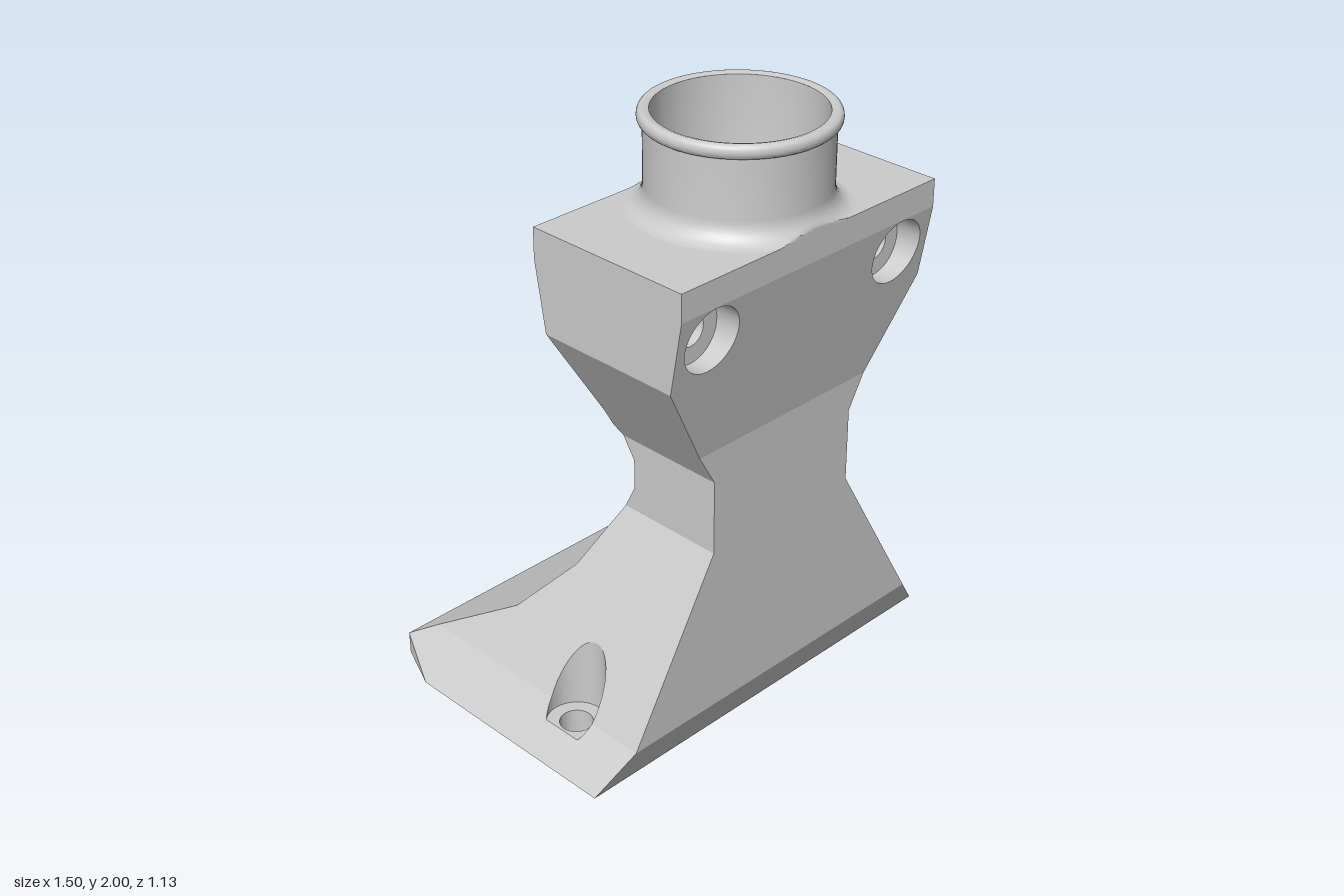
import * as THREE from 'three';
import { mergeGeometries, toCreasedNormals } from 'three/addons/utils/BufferGeometryUtils.js';

// Body profiles as [y, value]: half width, front z, back z
const WIDTH = [[0, 0.75], [0.14, 0.63], [0.71, 0.3], [0.96, 0.3], [1.37, 0.535], [1.7, 0.535]];
const FRONT = [[0, 0.41], [0.14, 0.47], [1.07, 0.47], [1.61, 0.565], [1.7, 0.565]];
const BACK = [[0, -0.565], [0.08, -0.565], [0.31, -0.18], [0.5, -0.01], [0.73, 0.1], [0.79, 0.13],
  [0.89, 0.13], [0.95, 0.09], [1.0, 0.065], [1.07, 0.065], [1.6, -0.03], [1.7, -0.03]];
const SIDE_BACK = [[0, -0.4], ...BACK.slice(1)]; // back corners of the foot are cut off
const NECK_Z = 0.267;
const BOLT = { x: 0.395, y: 1.5, r: 0.053, bore: 0.107, floor: 0.46 };
const FOOT = { x: 0.61, z: 0.18, r: 0.053, bore: 0.095, floor: 0.09 };

function at(knots, y) {
  for (let i = 1; i < knots.length; i++) {
    const [y0, v0] = knots[i - 1], [y1, v1] = knots[i];
    if (y <= y1) return v0 + (v1 - v0) * (y - y0) / (y1 - y0);
  }
  return knots[knots.length - 1][1];
}

const arc = (cx, cy, r, a0 = 0, a1 = Math.PI * 2, n = 40) =>
  Array.from({ length: n + 1 }, (_, i) => {
    const a = a0 + (a1 - a0) * i / n;
    return [cx + r * Math.cos(a), cy + r * Math.sin(a)];
  });

// Flat panel with holes, put in space by place(u, v)
function panel(outline, holes, place) {
  const vec = (pts) => pts.map(([u, v]) => new THREE.Vector2(u, v));
  const shape = new THREE.Shape(vec(outline));
  holes.forEach((h) => shape.holes.push(new THREE.Path(vec(h))));
  const g = new THREE.ShapeGeometry(shape);
  const p = g.attributes.position;
  for (let i = 0; i < p.count; i++) p.setXYZ(i, ...place(p.getX(i), p.getY(i)));
  return finish(g);
}

// Skin through rows of points
function skin(rows) {
  const n = rows[0].length, index = [];
  for (let j = 0; j < rows.length - 1; j++) {
    for (let i = 0; i < n - 1; i++) {
      const a = j * n + i, b = a + n;
      index.push(a, b, a + 1, a + 1, b, b + 1);
    }
  }
  const g = new THREE.BufferGeometry();
  g.setAttribute('position', new THREE.Float32BufferAttribute(rows.flat(2), 3));
  g.setIndex(index);
  return finish(g);
}

function finish(g) {
  g.deleteAttribute('uv');
  g.deleteAttribute('normal');
  return toCreasedNormals(g, 0.6);
}

// Outline between two heights, bounded by two profiles
function stripOutline(y0, y1, lo, hi, topNotch = [], bottomNotch = []) {
  const edge = (k) => [y0, ...k.map((p) => p[0]).filter((y) => y > y0 && y < y1), y1].map((y) => [at(k, y), y]);
  return [...edge(hi), ...topNotch, ...edge(lo).reverse(), ...bottomNotch];
}

// Duct section: two overlapping circles of radius r, a apart from the middle
function ductRing(y, r, cz, a) {
  return Array.from({ length: 73 }, (_, i) => {
    const t = i / 72 * Math.PI * 2, c = Math.cos(t), s = Math.sin(t);
    const d = a * Math.abs(c) + Math.sqrt(r * r - a * a * s * s);
    return [d * c, y, y > 0 ? Math.max(cz + d * s, at(BACK, y) + 0.008) : cz + d * s];
  });
}

export function createModel() {
  const model = new THREE.Group();
  const material = new THREE.MeshStandardMaterial({ color: 0xcccccc, side: THREE.DoubleSide });
  const add = (name, parts) => {
    const mesh = new THREE.Mesh(mergeGeometries(parts), material);
    mesh.name = name;
    model.add(mesh);
  };

  // Front and back walls
  const shell = [];
  const negWidth = WIDTH.map(([y, w]) => [y, -w]);
  for (const [knots, r] of [[FRONT, BOLT.bore], [BACK, BOLT.r]]) {
    for (let i = 1; i < knots.length; i++) {
      const y0 = knots[i - 1][0], y1 = knots[i][0];
      let outline = stripOutline(y0, y1, negWidth, WIDTH);
      if (knots === BACK && i === 1) outline = [[-0.68, 0], [0.68, 0], [0.681, 0.08], [-0.681, 0.08]];
      const holes = y0 < BOLT.y && y1 > BOLT.y ? [-1, 1].map((s) => arc(s * BOLT.x, BOLT.y, r)) : [];
      shell.push(panel(outline, holes, (u, y) => [u, y, at(knots, y)]));
    }
  }

  // Side walls, notched by the foot counterbores
  const slopeY = (x) => x > 0.63 ? (0.75 - x) * 0.14 / 0.12 : 0.14 + (0.63 - x) * 0.57 / 0.33;
  const cut = (a0, a1) => arc(FOOT.x, FOOT.z, FOOT.bore, a0, a1, 24).map(([x, z]) => [z, slopeY(x)]);
  const kink = Math.acos((0.63 - FOOT.x) / FOOT.bore);
  const low = Math.acos((0.75 - FOOT.floor * 0.12 / 0.14 - FOOT.x) / FOOT.bore);
  for (const s of [-1, 1]) {
    for (let i = 1; i < WIDTH.length; i++) {
      const top = i === 1 ? [...cut(kink, low), ...cut(-low, -kink)] : [];
      const bottom = i === 2 ? cut(Math.PI * 2 - kink, kink) : [];
      const outline = stripOutline(WIDTH[i - 1][0], WIDTH[i][0], SIDE_BACK, FRONT, top, bottom);
      shell.push(panel(outline, [], (z, y) => [s * at(WIDTH, y), y, z]));
    }
    // Cut back corner of the foot
    shell.push(skin([[[s * 0.75, 0, -0.4], [s * 0.75, 0, -0.4]], [[s * 0.68, 0, -0.565], [s * 0.681, 0.08, -0.565]]]));
  }

  // Underside and shoulder
  const outlet = ductRing(0, 0.18, 0.065, 0.12).map(([x, , z]) => [x, z]);
  shell.push(panel(
    [[-0.75, 0.41], [-0.75, -0.4], [-0.68, -0.565], [0.68, -0.565], [0.75, -0.4], [0.75, 0.41]],
    [outlet, ...[-1, 1].map((s) => arc(s * FOOT.x, FOOT.z, FOOT.r))],
    (x, z) => [x, 0, z]));
  shell.push(panel(
    [[-0.535, -0.03], [0.535, -0.03], [0.535, 0.565], [-0.535, 0.565]],
    [arc(0, NECK_Z, 0.26, 0, Math.PI * 2, 72)], (x, z) => [x, 1.7, z]));
  add('body', shell);

  // Bolt holes
  for (const s of [-1, 1]) {
    const name = s > 0 ? 'left' : 'right';
    const wide = arc(s * BOLT.x, BOLT.y, BOLT.bore), thin = arc(s * BOLT.x, BOLT.y, BOLT.r);
    add(name + 'UpperBoltHole', [
      skin([wide.map(([x, y]) => [x, y, at(FRONT, y)]), wide.map(([x, y]) => [x, y, BOLT.floor])]),
      panel(wide, [thin], (x, y) => [x, y, BOLT.floor]),
      skin([thin.map(([x, y]) => [x, y, BOLT.floor]), thin.map(([x, y]) => [x, y, at(BACK, y)])]),
    ]);
    const wall = arc(FOOT.x, FOOT.z, FOOT.bore, low, Math.PI * 2 - low, 64);
    const hole = arc(FOOT.x, FOOT.z, FOOT.r);
    add(name + 'FootBoltHole', [
      skin([wall.map(([x, z]) => [s * x, slopeY(x), z]), wall.map(([x, z]) => [s * x, FOOT.floor, z])]),
      panel(wall, [hole], (x, z) => [s * x, FOOT.floor, z]),
      skin([hole.map(([x, z]) => [s * x, FOOT.floor, z]), hole.map(([x, z]) => [s * x, 0, z])]),
    ]);
  }

  // Neck with beaded rim and a fillet trimmed to the body
  const profile = [];
  for (let i = 0; i <= 10; i++) {
    const a = i / 10 * Math.PI / 2;
    profile.push(new THREE.Vector2(0.34 - 0.06 * Math.sin(a), 1.77 - 0.07 * Math.cos(a)));
  }
  profile.push(new THREE.Vector2(0.28, 1.955));
  arc(0.283, 1.978, 0.014, -Math.PI / 2, Math.PI / 2, 8).forEach(([x, y]) =>
    profile.push(new THREE.Vector2(x, 1.978 + (y - 1.978) * 1.55)));
  profile.push(new THREE.Vector2(0.275, 2), new THREE.Vector2(0.26, 1.995));
  const neck = new THREE.LatheGeometry(profile, 96).translate(0, 0, NECK_Z);
  const np = neck.attributes.position;
  for (let i = 0; i < np.count; i++) np.setZ(i, THREE.MathUtils.clamp(np.getZ(i), -0.03, 0.565));
  add('neck', [finish(neck)]);

  // Inner duct, splitting into two outlets
  const rings = [[1.995, 0.26], [1.7, 0.26], [1.15, 0.18], [0.95, 0.18]].map(([y, r]) => ductRing(y, r, NECK_Z, 0));
  for (let i = 1; i <= 20; i++) {
    const t = i / 20;
    rings.push(ductRing(0.95 * (1 - t), 0.18, THREE.MathUtils.lerp(NECK_Z, 0.065, t), 0.12 * t));
  }
  add('duct', [skin(rings)]);

  return model;
}
